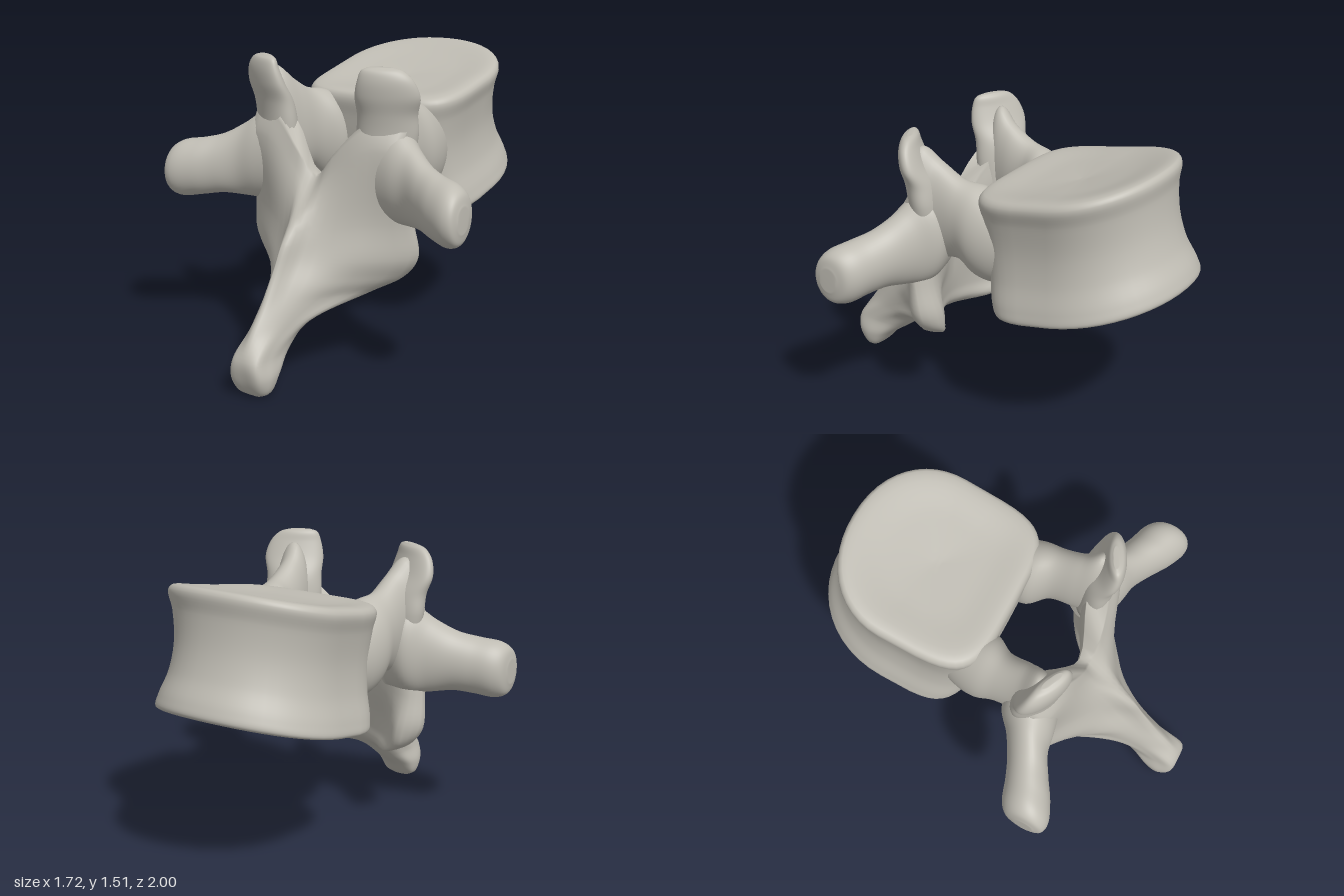
import * as THREE from 'three';

const N = 48; // points per cross-section
const bone = new THREE.MeshStandardMaterial({ color: 0xbfbcb3 });
bone.name = 'bone';

const V = (x, y, z) => new THREE.Vector3(x, y, z);
const spow = (v, e) => Math.sign(v) * Math.abs(v) ** e;

// Smooth closed skin over a list of key rings, each with N points
function loft(name, rings, steps = 6) {
  const rows = (rings.length - 1) * steps;
  const pos = [], idx = [];
  const columns = [];
  for (let j = 0; j < N; j++) columns.push(new THREE.CatmullRomCurve3(rings.map(r => r[j])));
  for (let i = 0; i <= rows; i++)
    for (const c of columns) pos.push(...c.getPoint(i / rows).toArray());

  const quad = (a, b, c, d) => idx.push(a, b, c, a, c, d);
  for (let i = 0; i < rows; i++)
    for (let j = 0; j < N; j++) {
      const k = (j + 1) % N;
      quad(i * N + j, i * N + k, (i + 1) * N + k, (i + 1) * N + j);
    }
  // Caps: strips joining opposite points of each half ring
  for (const half of [0, N / 2])
    for (let j = 0; j < N / 4; j++) {
      const q = [j, j + 1, N / 2 - j - 1, N / 2 - j].map(k => (k + half) % N);
      quad(q[3], q[2], q[1], q[0]);
      quad(...q.map(k => k + rows * N));
    }

  // Turn faces outward if the enclosed volume is negative
  const p = k => V().fromArray(pos, 3 * k);
  let volume = 0;
  for (let i = 0; i < idx.length; i += 3)
    volume += p(idx[i]).dot(p(idx[i + 1]).cross(p(idx[i + 2])));
  if (volume < 0) idx.reverse();

  const g = new THREE.BufferGeometry();
  g.setAttribute('position', new THREE.Float32BufferAttribute(pos, 3));
  g.setIndex(idx);
  g.computeVertexNormals();
  const mesh = new THREE.Mesh(g, bone);
  mesh.name = name;
  return mesh;
}

// Elliptical ring around a centre, spanned by two half-axes
function ellipse(c, u, v) {
  return Array.from({ length: N }, (_, j) => {
    const a = (j / N) * Math.PI * 2;
    return c.clone().addScaledVector(u, Math.cos(a)).addScaledVector(v, Math.sin(a));
  });
}

// Body: D-shaped rings between two tilted, dished end plates
function body() {
  // height fraction, half width, front z, back z
  const rows = [
    [0.07, 0.02, -0.58, -0.54], [0.055, 0.24, -0.80, -0.33], [0.005, 0.43, -0.96, -0.17],
    [0.025, 0.475, -1.0, -0.13], [0.12, 0.467, -0.985, -0.10], [0.32, 0.43, -0.925, -0.07],
    [0.55, 0.415, -0.88, -0.04], [0.8, 0.43, -0.858, -0.02], [0.95, 0.45, -0.86, -0.01],
    [1.0, 0.425, -0.835, -0.03], [0.985, 0.24, -0.65, -0.2], [0.965, 0.02, -0.44, -0.40],
  ];
  return loft('body', rows.map(([t, a, front, back]) => {
    const mid = front + (back - front) * (0.55 - 0.12 * t);
    return Array.from({ length: N }, (_, j) => {
      const ang = (j / N) * Math.PI * 2, c = Math.cos(ang), s = Math.sin(ang);
      const e = s > 0 ? 0.45 : 0.93; // squarer behind, rounder in front
      const x = a * spow(c, e);
      const z = mid + (s > 0 ? back - mid : mid - front) * spow(s, e);
      const u = -z - 0.14;
      const low = 0.68 + 0.14 * u + 0.136 * u * u;
      const high = 1.285 - 0.1 * z + 0.145 * z * z;
      return V(x, low + (high - low) * t, z);
    });
  }));
}

// Lamina, lower joint wings and spine: mirrored horizontal sections
function arch() {
  // y, ridge z, flank xz, wing back xz, wing tip xz, wing front xz, canal side xz, canal roof z
  const rows = [
    [0.96, 0.40, 0.10, 0.41, 0.27, 0.365, 0.45, 0.28, 0.40, 0.24, 0.21, 0.28, 0.355],
    [0.88, 0.47, 0.10, 0.44, 0.30, 0.405, 0.44, 0.35, 0.38, 0.21, 0.21, 0.26, 0.345],
    [0.68, 0.68, 0.07, 0.56, 0.28, 0.42, 0.475, 0.28, 0.40, 0.20, 0.22, 0.26, 0.36],
    [0.58, 0.74, 0.06, 0.62, 0.28, 0.45, 0.485, 0.25, 0.38, 0.16, 0.23, 0.29, 0.37],
    [0.48, 0.80, 0.06, 0.70, 0.24, 0.47, 0.415, 0.26, 0.36, 0.17, 0.21, 0.31, 0.39],
    [0.40, 0.85, 0.06, 0.77, 0.16, 0.55, 0.28, 0.34, 0.26, 0.26, 0.13, 0.36, 0.41],
    [0.30, 0.93, 0.06, 0.86, 0.09, 0.75, 0.115, 0.64, 0.09, 0.57, 0.05, 0.54, 0.53],
    [0.19, 0.995, 0.07, 0.98, 0.085, 0.90, 0.085, 0.82, 0.075, 0.74, 0.04, 0.69, 0.67],
    [0.10, 0.99, 0.08, 0.985, 0.105, 0.93, 0.105, 0.88, 0.09, 0.83, 0.05, 0.80, 0.79],
    [0.025, 0.96, 0.06, 0.957, 0.085, 0.93, 0.088, 0.905, 0.08, 0.88, 0.05, 0.865, 0.86],
    [0.0, 0.93, 0.03, 0.93, 0.045, 0.92, 0.05, 0.91, 0.045, 0.90, 0.03, 0.893, 0.89],
  ];
  return loft('laminaAndSpine', rows.map(([y, ridge, ...r]) => {
    const roof = r.pop();
    const lift = THREE.MathUtils.clamp(3 * (y - 0.58), 0, 1.1); // opens the notch on top
    const at = (x, z) => V(x, y + lift * Math.min(Math.abs(x), 0.25), z);
    const side = [];
    for (let i = 0; i < r.length; i += 2) side.push(at(r[i], r[i + 1]));
    const other = side.map(p => V(-p.x, p.y, p.z)).reverse();
    const ring = new THREE.CatmullRomCurve3([at(0, ridge), ...side, at(0, roof), ...other], true);
    return Array.from({ length: N }, (_, j) => ring.getPoint(j / N));
  }));
}

// Pedicle: bridge from the body rising to the upper joint, sections along z
function pedicle(s) {
  const rows = [ // z, x, y, half width, half height
    [-0.28, 0.25, 1.03, 0.10, 0.14], [-0.12, 0.27, 1.03, 0.14, 0.22], [-0.02, 0.275, 1.055, 0.15, 0.235],
    [0.08, 0.3, 1.1, 0.11, 0.21], [0.2, 0.31, 1.125, 0.1, 0.255],
    [0.29, 0.335, 1.14, 0.1, 0.31], [0.34, 0.335, 1.14, 0.05, 0.25],
  ];
  return loft('pedicle', rows.map(([z, x, y, w, h]) => ellipse(V(s * x, y, z), V(w, 0, 0), V(0, h, 0))));
}

// Upper joint: thin upright plate turned outward
function upperJoint(s) {
  const rows = [ // y, x, z, half width, half thickness
    [0.95, 0.31, 0.28, 0.12, 0.09], [1.18, 0.33, 0.28, 0.148, 0.085], [1.28, 0.338, 0.295, 0.145, 0.08],
    [1.37, 0.357, 0.325, 0.155, 0.065], [1.45, 0.358, 0.345, 0.132, 0.05],
    [1.495, 0.345, 0.352, 0.098, 0.035], [1.51, 0.335, 0.352, 0.055, 0.015],
  ];
  const c = Math.cos(0.45), n = Math.sin(0.45);
  return loft('upperJoint', rows.map(([y, x, z, w, t]) =>
    ellipse(V(s * x, y, z), V(s * c * w, 0, -n * w), V(s * n * t, 0, c * t))));
}

// Side arm with a swollen tip, sections along x
function sideArm(s) {
  const rows = [ // x, y, z, half height, half depth
    [0.26, 1.0, 0.27, 0.23, 0.11], [0.4, 0.985, 0.27, 0.23, 0.14], [0.5, 0.955, 0.315, 0.19, 0.112],
    [0.6, 0.93, 0.37, 0.155, 0.11], [0.7, 0.91, 0.42, 0.148, 0.12], [0.8, 0.895, 0.455, 0.145, 0.122],
    [0.845, 0.89, 0.468, 0.118, 0.098], [0.862, 0.89, 0.475, 0.06, 0.05],
  ];
  return loft('sideArm', rows.map(([x, y, z, h, d]) =>
    ellipse(V(s * x, y, z), V(0, h, -0.15 * d), V(0, 0.1 * h, d))));
}

export function createModel() {
  const model = new THREE.Group();
  model.name = 'vertebra';
  model.add(body(), arch());
  for (const s of [1, -1]) {
    const half = new THREE.Group();
    half.name = s > 0 ? 'leftSide' : 'rightSide';
    half.add(pedicle(s), upperJoint(s), sideArm(s));
    model.add(half);
  }
  return model;
}
